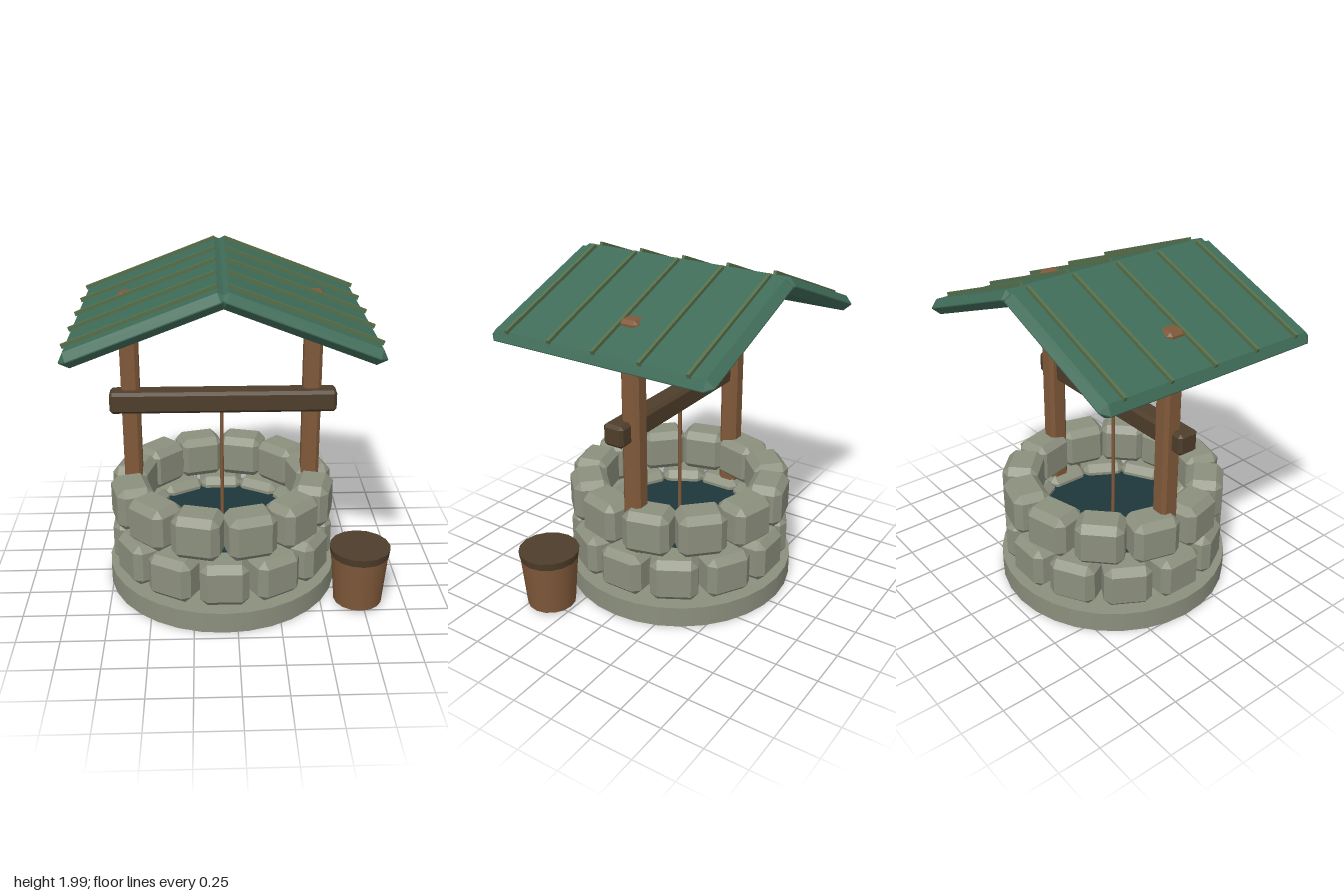
import * as THREE from 'three';
import { ConvexGeometry } from 'three/addons/geometries/ConvexGeometry.js';

const paint = (name, color) => {
  const m = new THREE.MeshStandardMaterial({ color });
  m.name = name;
  return m;
};

// Box with cut edges and corners, flat faces
function chamferBox(w, h, d, c) {
  const pts = [];
  for (const x of [-w / 2, w / 2]) for (const y of [-h / 2, h / 2]) for (const z of [-d / 2, d / 2]) {
    const sx = Math.sign(x) * c, sy = Math.sign(y) * c, sz = Math.sign(z) * c;
    pts.push(
      new THREE.Vector3(x, y - sy, z - sz),
      new THREE.Vector3(x - sx, y, z - sz),
      new THREE.Vector3(x - sx, y - sy, z));
  }
  return new ConvexGeometry(pts);
}

export function createModel() {
  const stone = paint('stone', 0x8c907e);
  const wood = paint('wood', 0x80593a);
  const darkWood = paint('dark wood', 0x4f3e2b);
  const roofGreen = paint('roof green', 0x3f6b58);
  const battenGreen = paint('batten green', 0x566f4a);
  const water = paint('water', 0x1e363a);

  const model = new THREE.Group();
  model.name = 'well';
  const add = (parent, name, geo, mat, x = 0, y = 0, z = 0) => {
    const mesh = new THREE.Mesh(geo, mat);
    mesh.name = name;
    mesh.position.set(x, y, z);
    parent.add(mesh);
    return mesh;
  };

  // The well stands a little to the side, leaving room for the bucket
  const well = new THREE.Group();
  well.name = 'wellBody';
  well.position.x = -0.075;
  model.add(well);

  add(well, 'base', new THREE.CylinderGeometry(0.697, 0.697, 0.126, 32), stone, 0, 0.063, 0);

  // Two rings of stones, the upper one turned by half a stone
  const stoneGeo = chamferBox(0.28, 0.262, 0.22, 0.042);
  [['lowerStones', 0.27, 0], ['upperStones', 0.56, 0.5]].forEach(([name, y, shift]) => {
    const ring = new THREE.Group();
    ring.name = name;
    well.add(ring);
    for (let i = 0; i < 12; i++) {
      const a = (i + shift) * Math.PI / 6;
      add(ring, 'stone', stoneGeo, stone, Math.sin(a) * 0.555, y, Math.cos(a) * 0.555).rotation.y = a;
    }
  });

  add(well, 'water', new THREE.CylinderGeometry(0.5, 0.5, 0.02, 32), water, 0, 0.33, 0);
  add(well, 'rope', new THREE.CylinderGeometry(0.011, 0.011, 0.78, 8), wood, 0, 0.73, 0);
  add(well, 'crossbeam', chamferBox(1.33, 0.13, 0.13, 0.018), darkWood, 0.01, 1.15, 0);

  // Posts and roof slopes, mirrored left and right
  const postGeo = chamferBox(0.107, 1.5, 0.115, 0.02);
  const panelGeo = chamferBox(0.916, 0.09, 1.415, 0.042);
  const battenGeo = new THREE.BoxGeometry(0.852, 0.024, 0.018);
  for (const s of [-1, 1]) {
    const side = s < 0 ? 'right' : 'left';
    add(well, side + 'Post', postGeo, wood, s * 0.535, 1.042, -0.05);

    const slope = new THREE.Group();
    slope.name = side + 'RoofSlope';
    slope.position.set(s * 0.403, 1.782, 0);
    slope.rotation.z = -s * 0.367;
    well.add(slope);
    add(slope, 'roofPanel', panelGeo, roofGreen);
    for (let i = -2; i <= 2; i++) add(slope, 'batten', battenGeo, battenGreen, s * 0.004, 0.053, i * 0.288);
  }

  // Bucket standing beside the well
  const bucket = new THREE.Group();
  bucket.name = 'bucket';
  bucket.position.set(0.723, 0, 0.393);
  model.add(bucket);
  add(bucket, 'bucketBody', new THREE.CylinderGeometry(0.17, 0.143, 0.32, 16), wood, 0, 0.18, 0);
  add(bucket, 'bucketRim', new THREE.CylinderGeometry(0.178, 0.172, 0.046, 16), darkWood, 0, 0.353, 0);

  return model;
}
